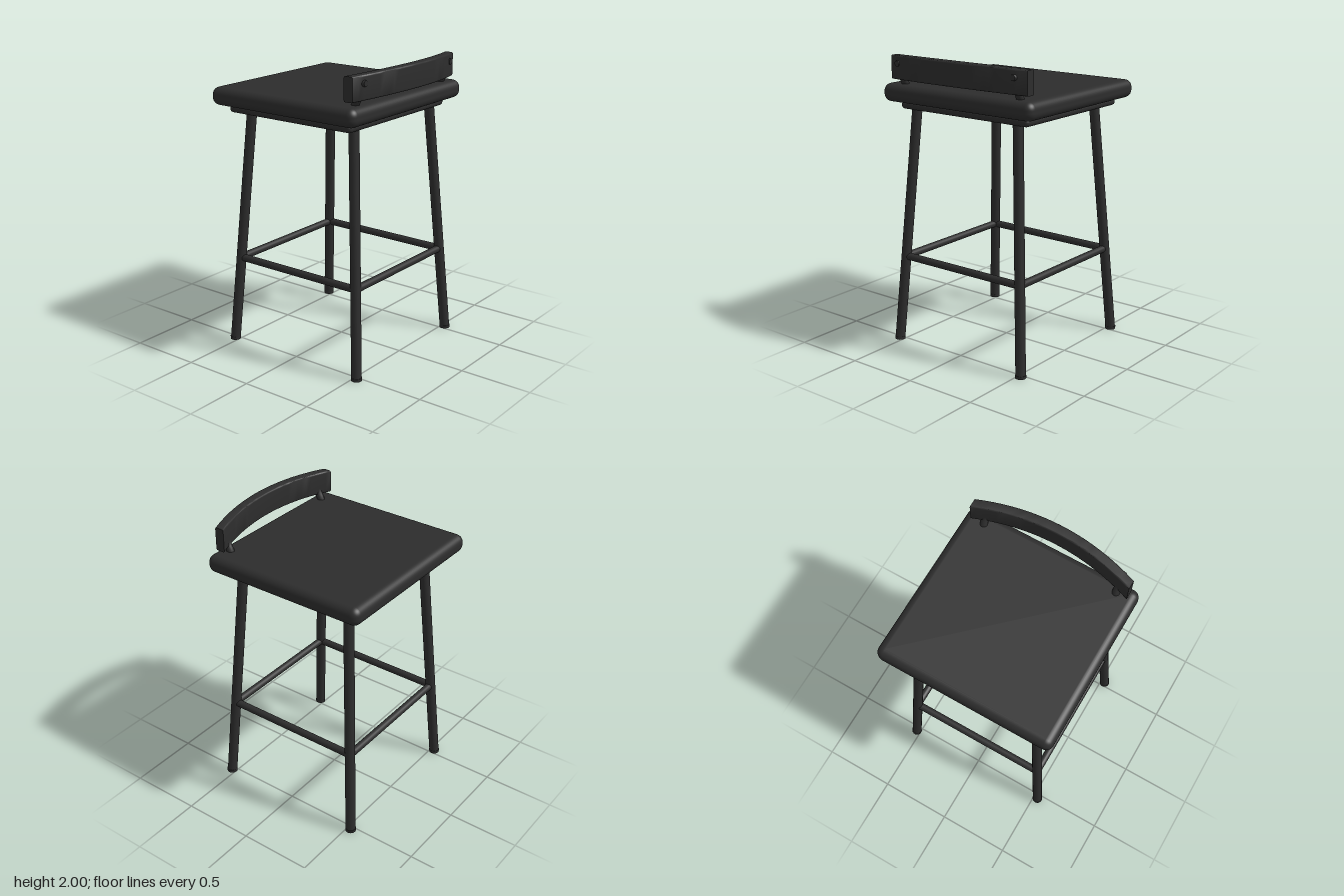
import * as THREE from 'three';
import { toCreasedNormals } from 'three/addons/utils/BufferGeometryUtils.js';
import { RoundedBoxGeometry } from 'three/addons/geometries/RoundedBoxGeometry.js';

const charcoal = new THREE.MeshStandardMaterial({ color: 0x2d2d2d });
charcoal.name = 'charcoal';

const V = (x, y, z) => new THREE.Vector3(x, y, z);

export function createModel() {
  const model = new THREE.Group();
  model.name = 'barStool';

  const add = (name, geometry, x = 0, y = 0, z = 0) => {
    const mesh = new THREE.Mesh(geometry, charcoal);
    mesh.name = name;
    mesh.position.set(x, y, z);
    model.add(mesh);
    return mesh;
  };

  // Round bar between two points
  const bar = (name, a, b, r) => {
    const mesh = add(name, new THREE.CylinderGeometry(r, r, a.distanceTo(b), 20));
    mesh.position.copy(a).lerp(b, 0.5);
    mesh.quaternion.setFromUnitVectors(V(0, 1, 0), b.clone().sub(a).normalize());
  };

  // Cushioned seat and the smaller plate below it
  add('seat', new RoundedBoxGeometry(1.23, 0.122, 1.172, 5, 0.052), 0, 1.735, -0.029);
  add('seatPlate', new RoundedBoxGeometry(1.055, 0.054, 1.0, 4, 0.025), 0, 1.649, -0.03);

  // Splayed legs with foot caps
  for (const sx of [-1, 1]) for (const sz of [-1, 1]) {
    bar('leg', V(0.53 * sx, 0.003, 0.53 * sz), V(0.42 * sx, 1.64, 0.42 * sz), 0.034);
    add('foot', new THREE.CylinderGeometry(0.036, 0.036, 0.02, 20), 0.53 * sx, 0.01, 0.53 * sz);
  }

  // Footrest ring of four rungs
  const e = 0.489;
  for (const s of [-1, 1]) {
    bar('rung', V(-e, 0.605, e * s), V(e, 0.605, e * s), 0.025);
    bar('rung', V(e * s, 0.605, -e), V(e * s, 0.605, e), 0.025);
  }

  // Curved backrest: rounded section swept along x, then bowed
  const hw = 0.033, hh = 0.079, r = 0.012;
  const section = new THREE.Shape();
  section.moveTo(-hw + r, -hh);
  section.lineTo(hw - r, -hh);
  section.quadraticCurveTo(hw, -hh, hw, -hh + r);
  section.lineTo(hw, hh - r);
  section.quadraticCurveTo(hw, hh, hw - r, hh);
  section.lineTo(-hw + r, hh);
  section.quadraticCurveTo(-hw, hh, -hw, hh - r);
  section.lineTo(-hw, -hh + r);
  section.quadraticCurveTo(-hw, -hh, -hw + r, -hh);
  const half = 0.558;
  const rest = new THREE.ExtrudeGeometry(section, {
    depth: half * 2, steps: 28, bevelEnabled: false, curveSegments: 4,
  });
  rest.translate(0, 0, -half);
  rest.rotateY(-Math.PI / 2);
  const p = rest.attributes.position;
  for (let i = 0; i < p.count; i++) {
    const bow = 1 - (p.getX(i) / half) ** 2;
    p.setY(i, p.getY(i) + 1.903 + 0.018 * bow);
    p.setZ(i, p.getZ(i) + 0.479 + 0.1 * bow);
  }
  add('backrest', toCreasedNormals(rest, 0.6));

  // Bent posts holding the backrest, with bolt heads
  for (const s of [-1, 1]) {
    const x = 0.475 * s;
    const path = new THREE.CatmullRomCurve3([
      V(x, 1.75, 0.455), V(x, 1.8, 0.472), V(x, 1.85, 0.496), V(x, 1.93, 0.506),
    ]);
    add('backrestPost', new THREE.TubeGeometry(path, 12, 0.025, 14));
    const bolt = add('bolt', new THREE.CylinderGeometry(0.019, 0.022, 0.02, 16), x, 1.935, 0.54);
    bolt.rotation.x = Math.PI / 2;
  }

  return model;
}
